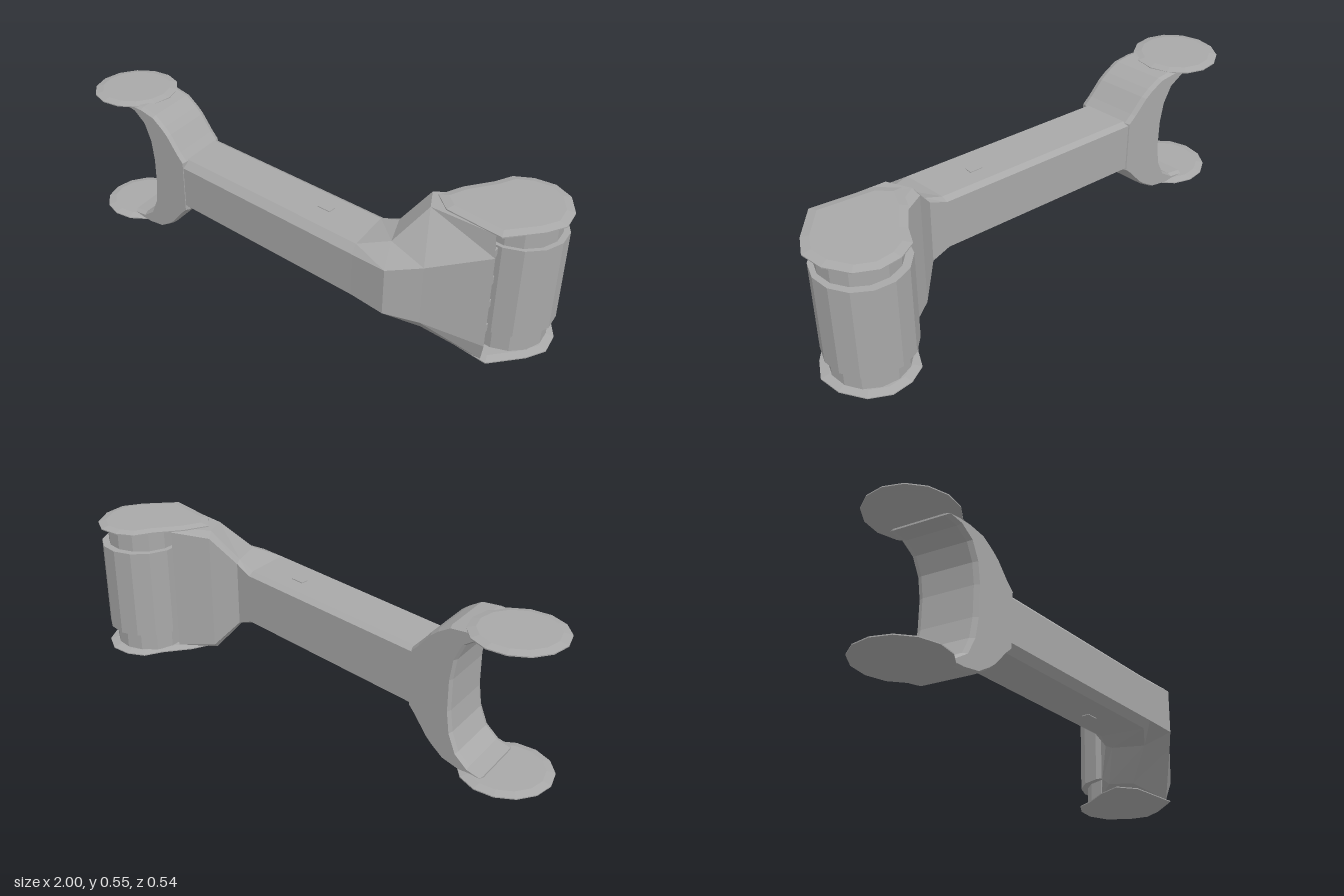
import * as THREE from 'three';

const MID = 0.275; // height of the horizontal symmetry plane

export function createModel() {
  const model = new THREE.Group();
  model.name = 'armLink';
  const metal = new THREE.MeshStandardMaterial({ color: 0xa8a8a8 });
  metal.name = 'grey metal';

  // Adds a faceted mesh
  const add = (name, geometry, x = 0, y = 0, z = 0) => {
    const g = geometry.index ? geometry.toNonIndexed() : geometry;
    g.computeVertexNormals();
    const mesh = new THREE.Mesh(g, metal);
    mesh.name = name;
    mesh.position.set(x, y, z);
    model.add(mesh);
    return mesh;
  };

  // Eight-sided ring between a front and a back edge (plan x, z),
  // hf / hm / hb: half heights at front edge, crown and back edge
  const ring = ({ f, b, hf, hm, hb, t1 = 0.12, t2 = 0.9 }) => {
    const at = (t, h) => [f[0] + (b[0] - f[0]) * t, MID + h, f[1] + (b[1] - f[1]) * t];
    return [at(0, hf), at(t1, hm), at(t2, hm), at(1, hb),
      at(1, -hb), at(t2, -hm), at(t1, -hm), at(0, -hf)];
  };
  const loft = (sections) => {
    const rings = sections.map(ring);
    const pos = [], n = 8;
    for (let s = 0; s < rings.length - 1; s++) {
      const a = rings[s], b = rings[s + 1];
      for (let i = 0; i < n; i++) {
        const j = (i + 1) % n;
        pos.push(...a[i], ...b[i], ...a[j], ...a[j], ...b[i], ...b[j]);
      }
    }
    const end = rings[rings.length - 1];
    for (let i = 1; i < n - 1; i++) pos.push(...end[0], ...end[i + 1], ...end[i]);
    const g = new THREE.BufferGeometry();
    g.setAttribute('position', new THREE.Float32BufferAttribute(pos, 3));
    return g;
  };

  // Slanted beam, flaring into the elbow housing with a recessed end
  add('beamAndElbow', loft([
    { f: [-0.52, 0.065], b: [-0.5, -0.16], hf: 0.085, hm: 0.113, hb: 0.1 },
    { f: [0.36, 0.236], b: [0.36, 0], hf: 0.085, hm: 0.113, hb: 0.1 },
    { f: [0.5, 0.268], b: [0.43, 0.012], hf: 0.09, hm: 0.14, hb: 0.13, t1: 0.4 },
    { f: [0.62, 0.218], b: [0.52, -0.045], hf: 0.115, hm: 0.258, hb: 0.235, t1: 0.55 },
    { f: [0.83, 0.14], b: [0.66, -0.11], hf: 0.185, hm: 0.262, hb: 0.25, t1: 0.08 },
    { f: [0.82, 0.122], b: [0.694, -0.06], hf: 0.165, hm: 0.22, hb: 0.2 },
    { f: [0.75, 0.122], b: [0.624, -0.06], hf: 0.165, hm: 0.2, hb: 0.18 },
  ]));

  // Ribs inside the recess
  for (const y of [-0.16, -0.055, 0.045, 0.16])
    add('recessRib', new THREE.BoxGeometry(0.09, 0.03, 0.06), 0.765, MID + y, 0.09);

  // Fork: C-shaped profile, extruded and sheared along the beam's slant
  const half = [[-0.47, 0.11], [-0.5, 0.14], [-0.55, 0.2], [-0.58, 0.225], [-0.63, 0.257], [-0.7, 0.268],
    [-0.8, 0.266], [-0.8, 0.248], [-0.74, 0.24], [-0.69, 0.205], [-0.66, 0.14], [-0.648, 0.06]];
  const outline = [...half, ...half.map(([x, y]) => [x, -y]).reverse()];
  const forkShape = new THREE.Shape(outline.map(([x, y]) => new THREE.Vector2(x, y)));
  const fork = new THREE.ExtrudeGeometry(forkShape, {
    depth: 0.2, bevelThickness: 0.018, bevelSize: 0.007, bevelOffset: -0.007, bevelSegments: 1 });
  const p = fork.attributes.position;
  for (let i = 0; i < p.count; i++) p.setZ(i, p.getZ(i) - 0.1 + 0.186 * p.getX(i) + 0.047);
  add('fork', fork, 0, MID, 0);

  // Thin plates with chamfered rims, outlined in plan (x, z), top and bottom
  const platePair = (name, points) => {
    const shape = new THREE.Shape(points.map(([x, z]) => new THREE.Vector2(x, -z)));
    for (const s of [-1, 1]) {
      const g = new THREE.ExtrudeGeometry(shape, {
        depth: 0.004, bevelThickness: 0.007, bevelSize: 0.03, bevelOffset: -0.03, bevelSegments: 1 });
      g.rotateX(-Math.PI / 2);
      add(name, g, 0, MID + s * 0.264 - 0.002, 0);
    }
  };
  const disc = [];
  for (let i = 0; i < 14; i++) {
    const a = (i / 14) * Math.PI * 2;
    disc.push([-0.833 + 0.167 * Math.cos(a), -0.105 + 0.168 * Math.sin(a)]);
  }
  platePair('forkPad', disc);
  platePair('drumFlange', [[0.84, 0.13], [0.95, 0.03], [0.998, -0.04], [0.995, -0.13], [0.95, -0.22],
    [0.88, -0.268], [0.8, -0.272], [0.73, -0.245], [0.69, -0.18], [0.61, -0.09], [0.56, 0], [0.62, 0.07]]);

  // Pivot drum: wide faceted body on a narrower core
  add('drumBody', new THREE.CylinderGeometry(0.167, 0.167, 0.36, 14), 0.825, MID + 0.003, -0.1);
  add('drumCore', new THREE.CylinderGeometry(0.145, 0.145, 0.515, 14), 0.825, MID, -0.093);

  // Small service covers on the beam's upper and lower faces
  for (const s of [-1, 1]) {
    const cover = add('serviceCover', new THREE.BoxGeometry(0.055, 0.006, 0.03), 0.16, MID + s * 0.113, 0.065);
    cover.rotation.y = -0.18;
  }
  return model;
}
